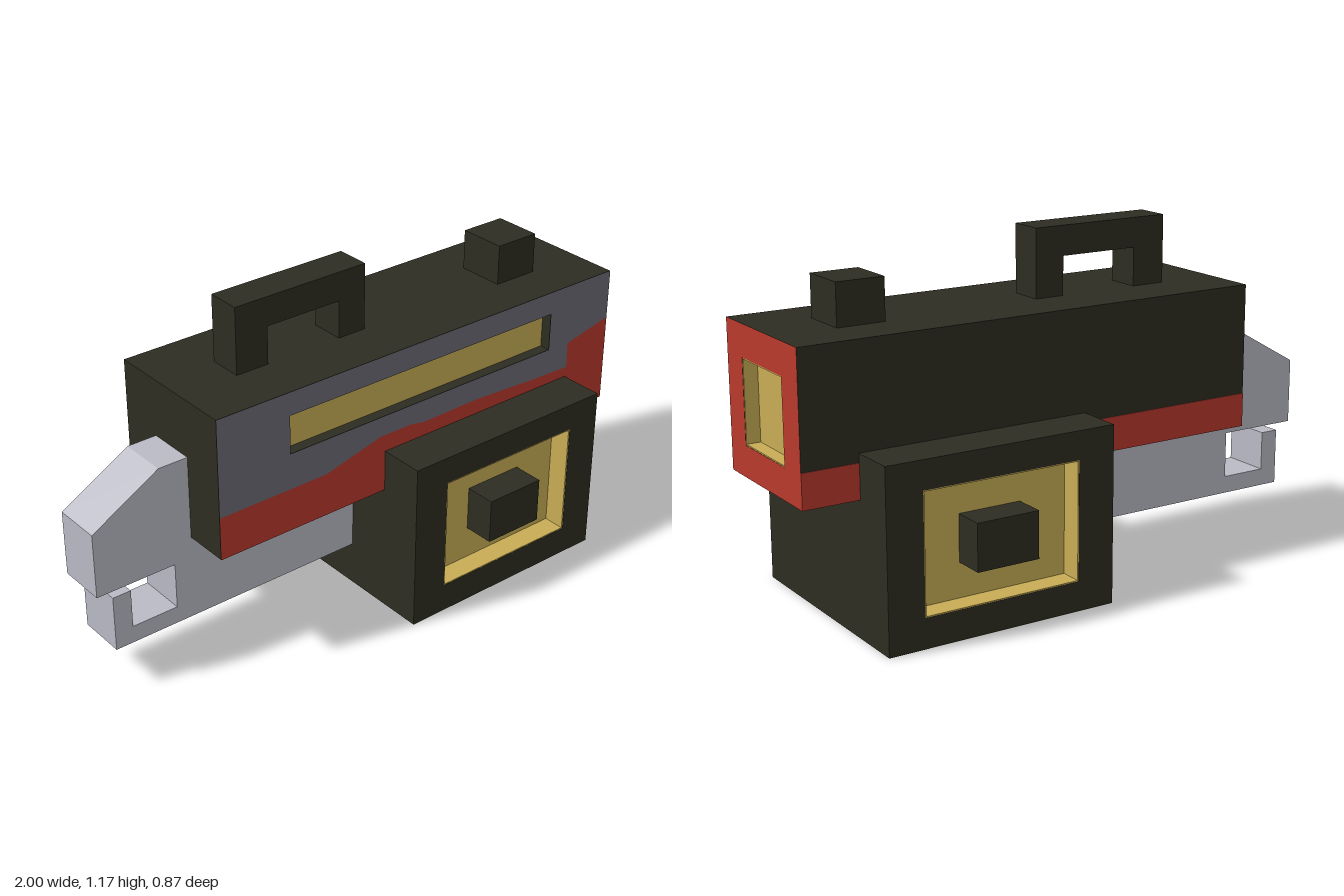
import * as THREE from 'three';

const mat = (name, color) => {
  const m = new THREE.MeshStandardMaterial({ color });
  m.name = name;
  return m;
};

export function createModel() {
  const root = new THREE.Group();
  const black = mat('black casing', 0x2d2d22);
  const red = mat('red paint', 0xb9392c);
  const grey = mat('grey paint', 0x6a6a75);
  const yellow = mat('yellow inset', 0xc8ad55);
  const steel = mat('pale steel', 0xbabac5);

  const add = (name, geometry, material, parent = root) => {
    const mesh = new THREE.Mesh(geometry, material);
    mesh.name = name;
    parent.add(mesh);
    return mesh;
  };
  // Box given by its lower and upper limits
  const box = (name, m, x0, x1, y0, y1, z0, z1, parent) =>
    add(name, new THREE.BoxGeometry(x1 - x0, y1 - y0, z1 - z0)
      .translate((x0 + x1) / 2, (y0 + y1) / 2, (z0 + z1) / 2), m, parent);
  const poly = (pts) => new THREE.Shape(pts.map(([x, y]) => new THREE.Vector2(x, y)));
  const rect = (x0, x1, y0, y1) => poly([[x0, y0], [x1, y0], [x1, y1], [x0, y1]]);
  const frame = (outer, hole) => {
    const s = rect(...outer);
    s.holes.push(rect(...hole));
    return s;
  };
  const extrude = (shape, depth, z) =>
    new THREE.ExtrudeGeometry(shape, { depth, bevelEnabled: false }).translate(0, 0, z);
  // Thin lining around the walls of a recess
  const lining = ([x0, x1, y0, y1], t = 0.004) =>
    frame([x0, x1, y0, y1], [x0 + t, x1 - t, y0 + t, y1 - t]);

  // Main body
  const slot = [-0.38, 0.725, 0.725, 0.86];
  box('bodyCore', black, -0.65, 0.95, 0.45, 0.94, -0.245, 0.205);
  add('bodyFrontFrame', extrude(frame([-0.65, 0.95, 0.45, 0.94], slot), 0.04, 0.205), black);
  box('slotPanel', yellow, -0.38, 0.725, 0.725, 0.86, 0.2, 0.207);

  // Painted front: red below a ragged line, grey above
  const line = [[-0.65, 0.6], [-0.24, 0.6], [-0.02, 0.655], [0.11, 0.655], [0.16, 0.645],
    [0.4, 0.648], [0.65, 0.635], [0.815, 0.63], [0.815, 0.722], [1, 0.765]];
  const upper = poly([...line, [1, 0.94], [-0.65, 0.94]]);
  upper.holes.push(rect(...slot));
  add('frontGreyPaint', new THREE.ShapeGeometry(upper).translate(0, 0, 0.247), grey);
  add('frontRedPaint', new THREE.ShapeGeometry(poly([[-0.65, 0.45], [1, 0.45], ...line.slice().reverse()]))
    .translate(0, 0, 0.247), red);
  box('backRedStripe', red, -0.65, 1, 0.45, 0.565, -0.247, -0.243);

  // Red end with a yellow recess, drawn in z-y and turned to face +x
  const end = new THREE.Group();
  end.name = 'bodyEnd';
  end.rotation.y = Math.PI / 2;
  root.add(end);
  const port = [-0.138, 0.138, 0.555, 0.833];
  add('endFrame', extrude(frame([-0.245, 0.245, 0.45, 0.94], port), 0.05, 0.95), [red, black], end);
  add('endRecessWalls', extrude(lining(port), 0.05, 0.949), yellow, end);
  box('endRecessFloor', yellow, ...port, 0.945, 0.952, end);

  // Magazine box, recessed on both sides
  const well = [0.13, 0.685, 0.1, 0.5];
  box('magazineCore', black, 0, 0.81, 0, 0.595, -0.325, 0.325);
  for (const s of [1, -1]) {
    const z = s > 0 ? 0.325 : -0.405;
    const side = s > 0 ? 'Front' : 'Back';
    add('magazineFrame' + side, extrude(frame([0, 0.81, 0, 0.595], well), 0.08, z), black);
    add('magazineRecessWalls' + side, extrude(lining(well), 0.078, z + 0.001), yellow);
    box('magazineRecessFloor' + side, yellow, ...well, s * 0.325 - 0.003, s * 0.325 + 0.003);
  }
  box('magazineAxle', black, 0.3, 0.52, 0.22, 0.377, -0.437, 0.437);

  // Carrying handle and rear block on top
  add('carryHandle', extrude(poly([[-0.44, 0.93], [-0.32, 0.93], [-0.32, 1.07], [-0.04, 1.07],
    [-0.04, 0.93], [0.065, 0.93], [0.065, 1.17], [-0.44, 1.17]]), 0.12, -0.06), black);
  box('topBlock', black, 0.625, 0.79, 0.93, 1.08, -0.085, 0.085);

  // Steel jaw with an open notch
  add('jaw', extrude(poly([[0.1, 0.155], [0.1, 0.5], [-0.6, 0.5], [-0.6, 0.74], [-0.755, 0.74],
    [-1, 0.6], [-1, 0.375], [-0.715, 0.375], [-0.715, 0.215], [-0.88, 0.215],
    [-0.88, 0.35], [-0.945, 0.35], [-0.945, 0.155]]), 0.17, -0.085), steel);

  return root;
}
